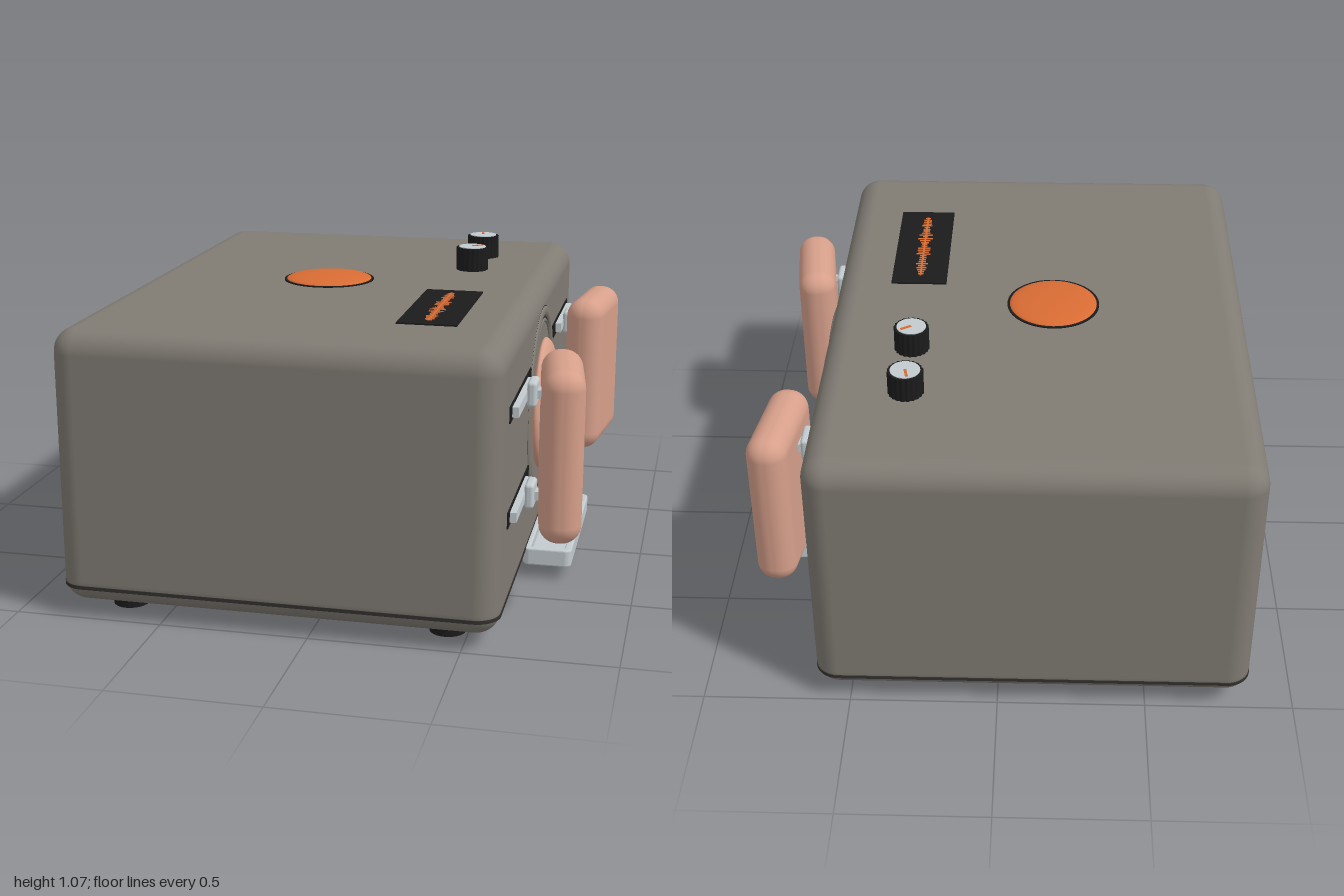
import * as THREE from 'three';
import { RoundedBoxGeometry } from 'three/addons/geometries/RoundedBoxGeometry.js';

const mat = (name, color) => {
  const m = new THREE.MeshStandardMaterial({ color });
  m.name = name;
  return m;
};

// Rounded rectangle outline, used for the tray, seam and port
function roundedRect(w, h, r, Type = THREE.Shape) {
  const s = new Type(), x = w / 2, y = h / 2;
  s.moveTo(-x + r, -y);
  s.lineTo(x - r, -y).absarc(x - r, -y + r, r, -Math.PI / 2, 0);
  s.lineTo(x, y - r).absarc(x - r, y - r, r, 0, Math.PI / 2);
  s.lineTo(-x + r, y).absarc(-x + r, y - r, r, Math.PI / 2, Math.PI);
  s.lineTo(-x, -y + r).absarc(-x + r, -y + r, r, Math.PI, Math.PI * 1.5);
  return s;
}

export function createModel() {
  const grey = mat('warmGrey', 0x807b73), black = mat('black', 0x1b1b1b);
  const pink = mat('softPink', 0xd69f8a), orange = mat('orange', 0xd96c34);
  const silver = mat('silver', 0xc3cbcf), seamDark = mat('seamDark', 0x33312f);
  const model = new THREE.Group();

  const add = (name, geo, material, x = 0, y = 0, z = 0, parent = model) => {
    const m = new THREE.Mesh(geo, material);
    m.name = name;
    m.position.set(x, y, z);
    parent.add(m);
    return m;
  };
  const box = (w, h, d) => new THREE.BoxGeometry(w, h, d);
  const discX = (r, t, n = 40) => new THREE.CylinderGeometry(r, r, t, n).rotateZ(-Math.PI / 2);
  const latheX = (pts, n) => new THREE.LatheGeometry(pts.map(p => new THREE.Vector2(...p)), n).rotateZ(-Math.PI / 2);

  const side = 0.615, back = -0.85, top = 0.975, midX = (side + back) / 2;

  // Housing with a thin seam above its base
  add('housing', new RoundedBoxGeometry(side - back, 0.93, 2, 6, 0.08), grey, midX, 0.51, 0);
  const seam = new THREE.ExtrudeGeometry(roundedRect(side - back + 0.002, 2.002, 0.08), { depth: 0.012, bevelEnabled: false, curveSegments: 8 });
  add('seam', seam.rotateX(-Math.PI / 2), seamDark, midX, 0.1, 0);

  // Feet
  for (const x of [-0.66, 0.43]) for (const z of [-0.83, 0.83])
    add('foot', new THREE.CylinderGeometry(0.06, 0.06, 0.06, 28), black, x, 0.03, z);

  // Domed push button in a dark surround
  add('buttonSurround', new THREE.CylinderGeometry(0.163, 0.163, 0.006, 64), black, -0.17, top + 0.001, 0);
  const dome = new THREE.SphereGeometry(0.155, 48, 12, 0, Math.PI * 2, 0, Math.PI / 2).scale(1, 0.13, 1);
  add('button', dome, orange, -0.17, top + 0.003, 0);

  // Fluted knobs with pointer caps
  for (const [z, angle] of [[-0.565, 0.2], [-0.3, -1.0]]) {
    const knob = new THREE.Group();
    knob.name = 'knob';
    knob.position.set(0.31, top, z);
    knob.rotation.y = angle;
    model.add(knob);
    const geo = new THREE.CylinderGeometry(0.058, 0.058, 0.085, 80), p = geo.attributes.position;
    for (let i = 0; i < p.count; i++) {
      const k = 1 + 0.035 * Math.cos(20 * Math.atan2(p.getZ(i), p.getX(i)));
      p.setXYZ(i, p.getX(i) * k, p.getY(i), p.getZ(i) * k);
    }
    geo.computeVertexNormals();
    add('knobGrip', geo, black, 0, 0.0425, 0, knob);
    add('knobCap', new THREE.CylinderGeometry(0.05, 0.05, 0.004, 40), silver, 0, 0.086, 0, knob);
    add('knobPointer', box(0.009, 0.003, 0.04), orange, 0, 0.089, -0.021, knob);
  }

  // Display with a waveform
  add('display', box(0.2, 0.008, 0.54), black, 0.318, top + 0.001, 0.396);
  add('waveLine', box(0.007, 0.003, 0.44), orange, 0.316, top + 0.006, 0.4);
  for (let i = 0; i < 30; i++) {
    const w = 0.02 + 0.042 * Math.abs(Math.sin(i * 0.42) * Math.cos(i * 1.9)) * Math.sin((i + 3) / 35 * Math.PI);
    add('waveBar', box(w, 0.003, 0.007), orange, 0.316, top + 0.006, 0.19 + i * 0.0145);
  }

  // Round trim around the opening
  const cy = 0.555;
  add('trimRing', latheX([[0.35, -0.005], [0.348, 0.004], [0.338, 0.008], [0.324, 0.008], [0.314, 0.002], [0.311, -0.005]], 80), grey, side, cy, 0);
  for (const [r, w] of [[0.346, 0.006], [0.306, 0.008]])
    add('trimLine', new THREE.RingGeometry(r, r + w, 80).rotateY(Math.PI / 2), seamDark, side + 0.0015, cy, 0);
  add('innerRing', new THREE.TorusGeometry(0.298, 0.006, 8, 80).rotateY(Math.PI / 2), grey, side, cy, 0);

  // Soft cushion ring, gathered into folds towards its centre
  const profile = new THREE.SplineCurve([[0.222, -0.004], [0.236, 0.006], [0.228, 0.022], [0.2, 0.037], [0.16, 0.043],
    [0.12, 0.038], [0.085, 0.027], [0.055, 0.014], [0.038, 0.001]].map(p => new THREE.Vector2(...p))).getPoints(32);
  const cushion = new THREE.LatheGeometry(profile, 132), cp = cushion.attributes.position;
  for (let i = 0; i < cp.count; i++) {
    const x = cp.getX(i), y = cp.getY(i), z = cp.getZ(i), r = Math.hypot(x, z), a = Math.atan2(z, x);
    const f = Math.max(0, Math.min(1, (0.17 - r) / 0.09));
    const wave = 1 - 2 * Math.pow(Math.abs(Math.cos(5.5 * a + 0.5 * Math.sin(2 * a))), 6);
    const k = 1 - 0.06 * f * wave;
    cp.setXYZ(i, x * k, y + 0.009 * f * wave * Math.min(1, y / 0.02), z * k);
  }
  cushion.computeVertexNormals();
  add('cushionRing', cushion.rotateZ(-Math.PI / 2), pink, side + 0.002, cy, 0);
  add('cushionCentre', discX(0.05, 0.004), grey, side + 0.001, cy, 0);

  // Padded clamps on sliding rails, mirrored front to back
  for (const s of [-1, 1]) {
    const clamp = new THREE.Group();
    clamp.name = 'clamp';
    model.add(clamp);
    const pad = add('pad', new RoundedBoxGeometry(0.14, 0.585, 0.39, 6, 0.065), pink, 0.75, 0.563, s * 0.538, clamp);
    pad.rotation.y = s * 0.13;
    for (const y of [0.388, 0.738]) {
      add('railSlot', box(0.008, 0.054, 0.51), black, side, y, s * 0.573, clamp);
      add('rail', box(0.035, 0.034, 0.38), silver, 0.623, y, s * 0.601, clamp);
      add('railBracket', new RoundedBoxGeometry(0.032, 0.086, 0.1, 3, 0.012), silver, 0.654, y + 0.003, s * 0.54, clamp);
      add('padMount', box(0.05, 0.03, 0.05), silver, 0.67, y, s * 0.54, clamp);
    }
  }

  // Round speaker grille with raised beads
  const grille = new THREE.Group();
  grille.name = 'speakerGrille';
  grille.position.set(side, 0.232, -0.718);
  model.add(grille);
  add('grillePlate', discX(0.096, 0.006), black, 0, 0, 0, grille);
  const bead = discX(0.007, 0.006, 8);
  for (let ring = 1; ring <= 5; ring++) for (let i = 0; i < ring * 6; i++) {
    const a = i / (ring * 6) * Math.PI * 2, r = ring * 0.0192;
    add('grilleBead', bead, black, 0.003, r * Math.sin(a), r * Math.cos(a), grille);
  }

  // Drip tray: raised rim and a sunken floor
  const rim = roundedRect(0.158, 0.624, 0.018);
  rim.holes.push(roundedRect(0.13, 0.596, 0.012, THREE.Path));
  const rimGeo = new THREE.ExtrudeGeometry(rim, { depth: 0.05, bevelSize: 0.006, bevelThickness: 0.006, bevelSegments: 3, curveSegments: 6 });
  add('trayRim', rimGeo.rotateX(-Math.PI / 2), silver, 0.69, 0.052, 0);
  add('trayFloor', box(0.145, 0.03, 0.61), silver, 0.69, 0.061, 0);

  // Vent slots on the far side
  for (let i = 0; i < 10; i++)
    add('ventSlot', box(0.006, 0.014, 0.33), seamDark, back, 0.455 + i * 0.037, 0.475);

  // Round power socket and oblong data port
  add('socketRim', discX(0.036, 0.01), silver, back, 0.32, -0.395);
  add('socketHole', discX(0.022, 0.014), black, back, 0.32, -0.395);
  for (const [name, w, h, t, m] of [['portRim', 0.11, 0.046, 0.01, silver], ['portHole', 0.08, 0.02, 0.014, black]]) {
    const geo = new THREE.ExtrudeGeometry(roundedRect(w, h, h / 2 - 0.001), { depth: t, bevelEnabled: false, curveSegments: 6 });
    add(name, geo.translate(0, 0, -t / 2).rotateY(-Math.PI / 2), m, back, 0.315, -0.11);
  }
  return model;
}
